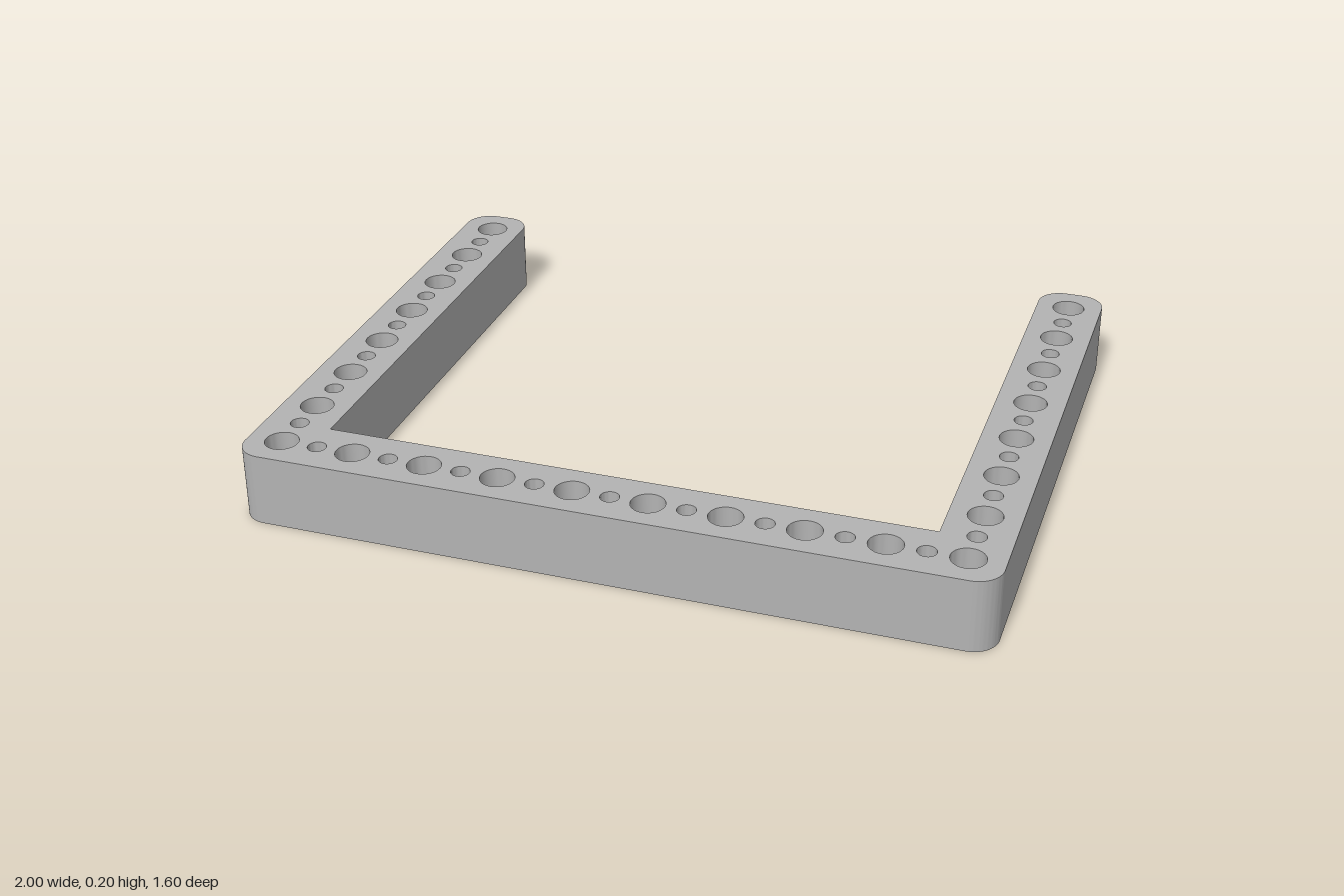
import * as THREE from 'three';
import { toCreasedNormals } from 'three/addons/utils/BufferGeometryUtils.js';

const HEIGHT = 0.2;
const HALF_X = 1, HALF_Z = 0.8;       // outer footprint
const INNER_X = 0.815, INNER_Z = 0.61; // inner edges of arms and front bar
const CORNER = 0.07;
const PITCH = 0.2015;                 // spacing of the large holes
const ROW_X = PITCH * 4.5, ROW_Z = PITCH * 3.5;

// U-shaped outline; shape y is -z
function outline() {
  const s = new THREE.Shape();
  const r = CORNER, q = Math.PI / 2;
  const corner = (x, y, start) => s.absarc(x, y, r, start, start + q, false);
  s.moveTo(-HALF_X + r, -HALF_Z);
  corner(HALF_X - r, -HALF_Z + r, -q);
  corner(HALF_X - r, HALF_Z - r, 0);
  corner(INNER_X + r, HALF_Z - r, q);
  s.lineTo(INNER_X, -INNER_Z);
  s.lineTo(-INNER_X, -INNER_Z);
  s.lineTo(-INNER_X, HALF_Z - r);
  corner(-INNER_X - r, HALF_Z - r, 0);
  corner(-HALF_X + r, HALF_Z - r, q);
  corner(-HALF_X + r, -HALF_Z + r, 2 * q);
  return s;
}

export function createModel() {
  const group = new THREE.Group();
  group.name = 'perforatedBracket';
  const grey = new THREE.MeshStandardMaterial({ color: 0xb3b3b3 });
  grey.name = 'grey';

  // Alternating large and small through holes
  const shape = outline();
  const addHole = (x, y, i) => {
    const hole = new THREE.Path();
    hole.absarc(x, y, i % 2 ? 0.025 : 0.045, 0, Math.PI * 2, true);
    shape.holes.push(hole);
  };
  for (let i = 0; i <= 18; i++) addHole(-ROW_X + i * PITCH / 2, -ROW_Z, i); // front bar
  for (const side of [-1, 1]) {
    for (let i = 1; i <= 14; i++) addHole(side * ROW_X, -ROW_Z + i * PITCH / 2, i); // arms
  }

  const solid = new THREE.ExtrudeGeometry(shape, { depth: HEIGHT, bevelEnabled: false, curveSegments: 16 });
  solid.rotateX(-Math.PI / 2);
  const frame = new THREE.Mesh(toCreasedNormals(solid, Math.PI / 5), grey);
  frame.name = 'frame';
  group.add(frame);
  return group;
}
